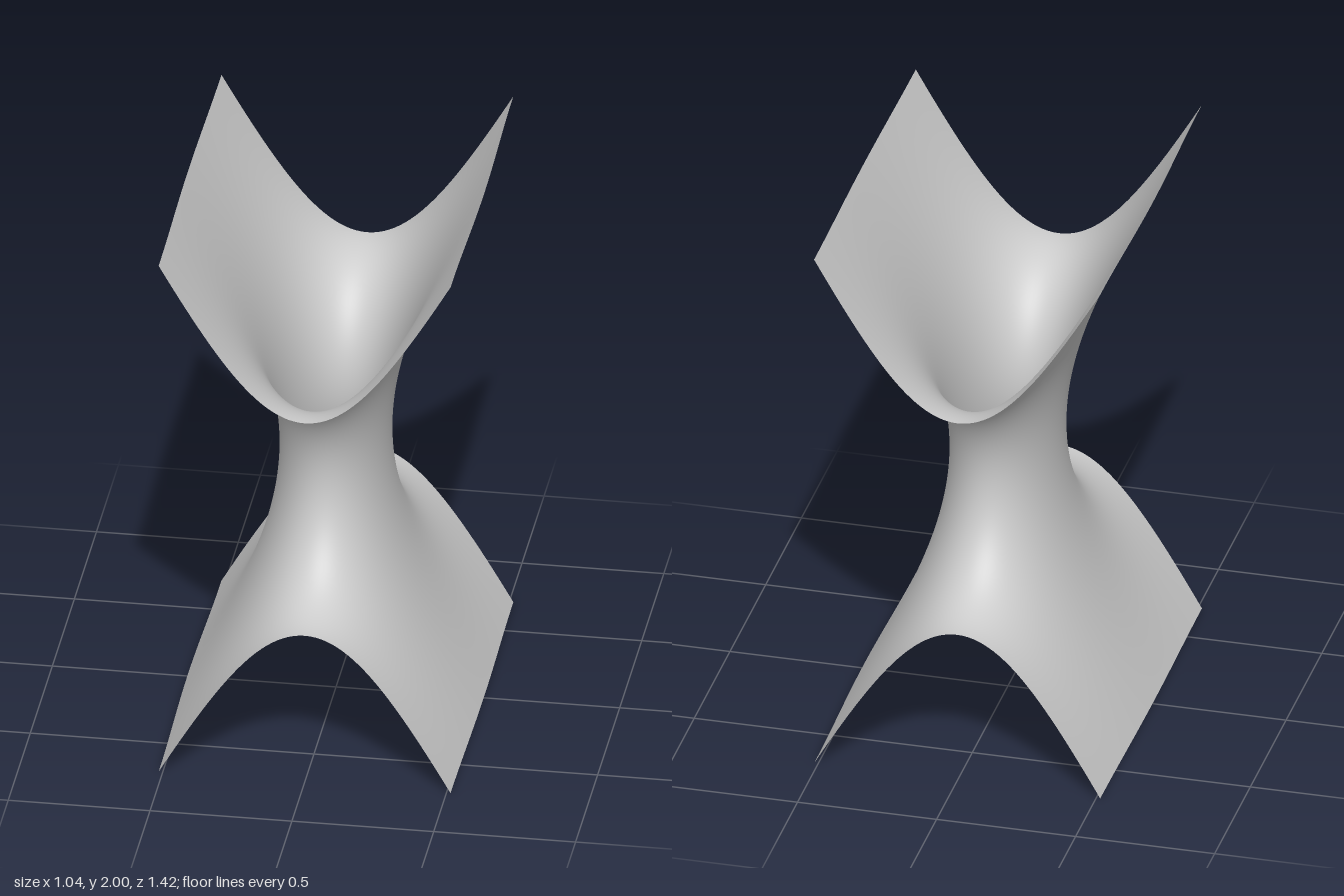
import * as THREE from 'three';
import { mergeGeometries } from 'three/addons/utils/BufferGeometryUtils.js';

// Saddle tower: A cosh(ax) - B cosh(by) = cos(kz), one full period along z
const A = 0.555, B = 0.445, a = 8.38, b = 4.58;
const HALF_DEPTH = 0.712, k = Math.PI / HALF_DEPTH;
const Z0 = Math.acos(A - B) / k; // the saddle point on the z axis
const ROWS = 20, COLS = 24;
const arcosh = (v) => Math.acosh(Math.max(1, v));

// One eighth of the surface (x, y, z >= 0), with exact normals
function octant() {
  const position = [], normal = [], index = [];
  for (let i = 0; i <= 2 * ROWS; i++) {
    // rows crowd together at the saddle point
    const s = i / ROWS - 1;
    const z = s < 0 ? Z0 * (1 - s * s) : Z0 + (HALF_DEPTH - Z0) * s * s;
    const c = Math.cos(k * z);
    const yStart = arcosh((A - c) / B) / b;
    const yEnd = 1 - 0.003 * (1 + c);
    for (let j = 0; j <= COLS; j++) {
      const y = yStart + (yEnd - yStart) * (j / COLS) ** 2;
      const x = arcosh((c + B * Math.cosh(b * y)) / A) / a;
      const n = new THREE.Vector3(
        A * a * Math.sinh(a * x), -B * b * Math.sinh(b * y), k * Math.sin(k * z)).normalize();
      position.push(x, y, z);
      normal.push(n.x, n.y, n.z);
      if (i < 2 * ROWS && j < COLS) {
        const p = i * (COLS + 1) + j, q = p + COLS + 1;
        index.push(p, p + 1, q, q, p + 1, q + 1);
      }
    }
  }
  const g = new THREE.BufferGeometry();
  g.setAttribute('position', new THREE.Float32BufferAttribute(position, 3));
  g.setAttribute('normal', new THREE.Float32BufferAttribute(normal, 3));
  g.setIndex(index);
  return g;
}

// Mirrored copy; an odd number of mirrors turns the faces round
function mirrored(base, sx, sy, sz) {
  const g = base.clone().applyMatrix4(new THREE.Matrix4().makeScale(sx, sy, sz));
  if (sx * sy * sz < 0) g.setIndex(Array.from(base.index.array).reverse());
  return g;
}

export function createModel() {
  const base = octant(), parts = [];
  for (const sx of [1, -1])
    for (const sy of [1, -1])
      for (const sz of [1, -1]) parts.push(mirrored(base, sx, sy, sz));

  const surface = new THREE.Mesh(
    mergeGeometries(parts),
    new THREE.MeshStandardMaterial({ color: 0xcccccc, side: THREE.DoubleSide }));
  surface.name = 'saddleSurface';
  surface.position.y = 1;

  const group = new THREE.Group();
  group.name = 'saddleTower';
  group.add(surface);
  return group;
}
